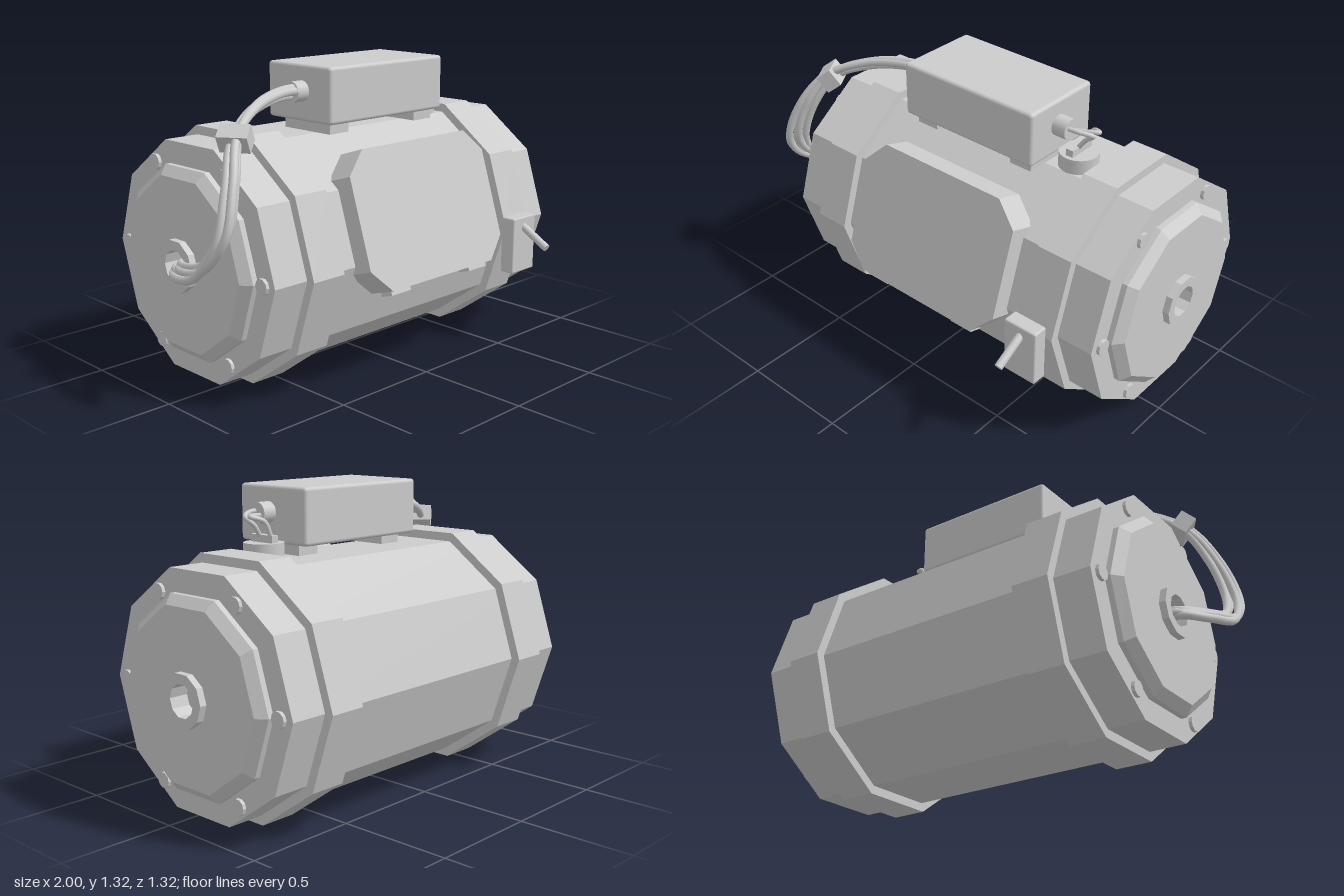
import * as THREE from 'three';
import { RoundedBoxGeometry } from 'three/addons/geometries/RoundedBoxGeometry.js';

const AXIS_Y = 0.535, AXIS_Z = -0.1;

export function createModel() {
  const root = new THREE.Group();
  root.name = 'electricMotor';
  const grey = new THREE.MeshStandardMaterial({ color: 0xcccccc });
  grey.name = 'lightGrey';

  const add = (parent, name, geo, x = 0, y = 0, z = 0) => {
    const m = new THREE.Mesh(geo, grey);
    m.name = name;
    m.position.set(x, y, z);
    parent.add(m);
    return m;
  };
  const flat = (geo) => {
    const g = geo.index ? geo.toNonIndexed() : geo;
    g.computeVertexNormals();
    return g;
  };
  // Ten-sided solid turned about the x axis; profile is [radius, x] pairs
  const turned = (profile) => flat(new THREE.LatheGeometry(
    profile.map(([r, h]) => new THREE.Vector2(r, h)), 10).rotateZ(-Math.PI / 2));
  const tube = (points, r, n = 48) => new THREE.TubeGeometry(
    new THREE.CatmullRomCurve3(points), n, r, 10);

  // Housing, centred on its own axis
  const motor = new THREE.Group();
  motor.name = 'motor';
  motor.position.set(0, AXIS_Y, AXIS_Z);
  root.add(motor);
  add(motor, 'housing', turned([[0, -0.785], [0.52, -0.785], [0.52, 0.91], [0, 0.91]]));
  for (const x of [-0.5375, 0.6625]) {
    add(motor, 'band', turned([[0.5, -0.0825], [0.56, -0.0825], [0.56, 0.0825], [0.5, 0.0825]]), x);
  }

  // End covers with hollow hubs and six bolts each
  for (const [x, turn] of [[0.91, 0], [-0.785, Math.PI]]) {
    const end = new THREE.Group();
    end.name = 'endCover';
    end.position.x = x;
    end.rotation.y = turn;
    motor.add(end);
    add(end, 'coverAndHub', turned([[0.42, 0], [0.42, 0.025], [0.378, 0.06], [0.113, 0.06],
      [0.113, 0.09], [0.07, 0.09], [0.07, 0.005], [0, 0.005]]));
    for (let i = 0; i < 6; i++) {
      const a = i * Math.PI / 3;
      add(end, 'bolt', turned([[0.034, 0], [0.034, 0.015], [0, 0.015]]),
        0, Math.sin(a) * 0.453, Math.cos(a) * 0.453);
    }
  }

  // Sloping cover plate on the upper front face
  const panel = new THREE.Group();
  panel.name = 'frontPanel';
  panel.rotation.x = -Math.PI / 10;
  motor.add(panel);
  const L = -0.355, R = 0.48, B = -0.29, T = 0.303, c = 0.1;
  const outline = new THREE.Shape([
    [L + c, B], [R - c, B], [R, B + c], [R, T - c], [R - c, T], [L + c, T], [L, T - c], [L, B + c],
  ].map(([x, y]) => new THREE.Vector2(x, y)));
  add(panel, 'panelPlate', new THREE.ExtrudeGeometry(outline, { depth: 0.13, bevelEnabled: false }), 0, 0, 0.448);
  for (const x of [-0.183, 0.31]) {
    add(panel, 'panelHinge', new THREE.BoxGeometry(0.115, 0.03, 0.06), x, -0.295, 0.52);
  }

  // Switch block with a sloping lever
  add(root, 'switchBlock', new RoundedBoxGeometry(0.16, 0.26, 0.07, 2, 0.008), 0.635, 0.46, 0.491);
  const lever = add(root, 'switchLever', new THREE.CylinderGeometry(0.018, 0.018, 0.18, 14), 0.635, 0.51, 0.575);
  lever.quaternion.setFromUnitVectors(new THREE.Vector3(0, 1, 0), new THREE.Vector3(0, -0.5, 0.866));

  // Terminal box on feet, with a cable gland at each end
  add(root, 'terminalBox', new RoundedBoxGeometry(0.695, 0.242, 0.39, 3, 0.016), 0.0625, 1.201, 0.005);
  for (const x of [-0.195, 0.325]) {
    add(root, 'boxFoot', new THREE.BoxGeometry(0.11, 0.06, 0.28), x, 1.065, 0.02);
  }
  for (const x of [-0.31, 0.44]) {
    add(root, 'cableGland', new THREE.CylinderGeometry(0.045, 0.045, 0.07, 20).rotateZ(Math.PI / 2), x, 1.21, 0.027);
  }

  // Round terminal base with a narrow lug and two looping wires
  add(root, 'terminalBase', new THREE.CylinderGeometry(0.085, 0.085, 0.07, 24), 0.485, 1.06, -0.022);
  add(root, 'terminalLug', new THREE.BoxGeometry(0.035, 0.04, 0.13), 0.483, 1.106, -0.022);
  const v = (x, y, z) => new THREE.Vector3(x, y, z);
  add(root, 'terminalWire', tube([v(0.45, 1.22, 0.045), v(0.52, 1.215, 0.03), v(0.565, 1.2, 0),
    v(0.525, 1.165, -0.01), v(0.485, 1.11, -0.005)], 0.01));
  add(root, 'terminalWire', tube([v(0.45, 1.2, 0.02), v(0.52, 1.205, -0.005), v(0.57, 1.205, -0.035),
    v(0.52, 1.185, -0.065), v(0.485, 1.11, -0.07)], 0.01));

  // Four strands from the gland round to the end hub; last value is the spread
  const path = [
    [-0.3, 1.21, 0.027, 0.8], [-0.42, 1.208, 0.037, 0.9], [-0.6, 1.175, 0.09, 1],
    [-0.78, 1.09, 0.19, 0.9], [-0.875, 0.93, 0.275, 1.2], [-0.935, 0.74, 0.295, 1.4],
    [-0.962, 0.6, 0.19, 1.3], [-0.935, 0.55, 0.03, 1.1], [-0.87, 0.535, -0.085, 0.9], [-0.8, 0.535, -0.1, 0.8],
  ];
  for (const [dx, dy, dz] of [[0.016, 0.02, 0.008], [-0.016, -0.02, -0.008], [-0.01, 0.008, 0.027], [0.01, -0.008, -0.027]]) {
    add(root, 'cableStrand', tube(path.map(([x, y, z, s]) => v(x + dx * s, y + dy * s, z + dz * s)), 0.018, 80));
  }

  // Clip holding the strands together
  const clip = add(root, 'cableClip', new THREE.BoxGeometry(0.125, 0.085, 0.075), -0.775, 1.09, 0.187);
  clip.lookAt(-0.775 - 0.15, 1.09 - 0.13, 0.187 + 0.1);

  return root;
}
